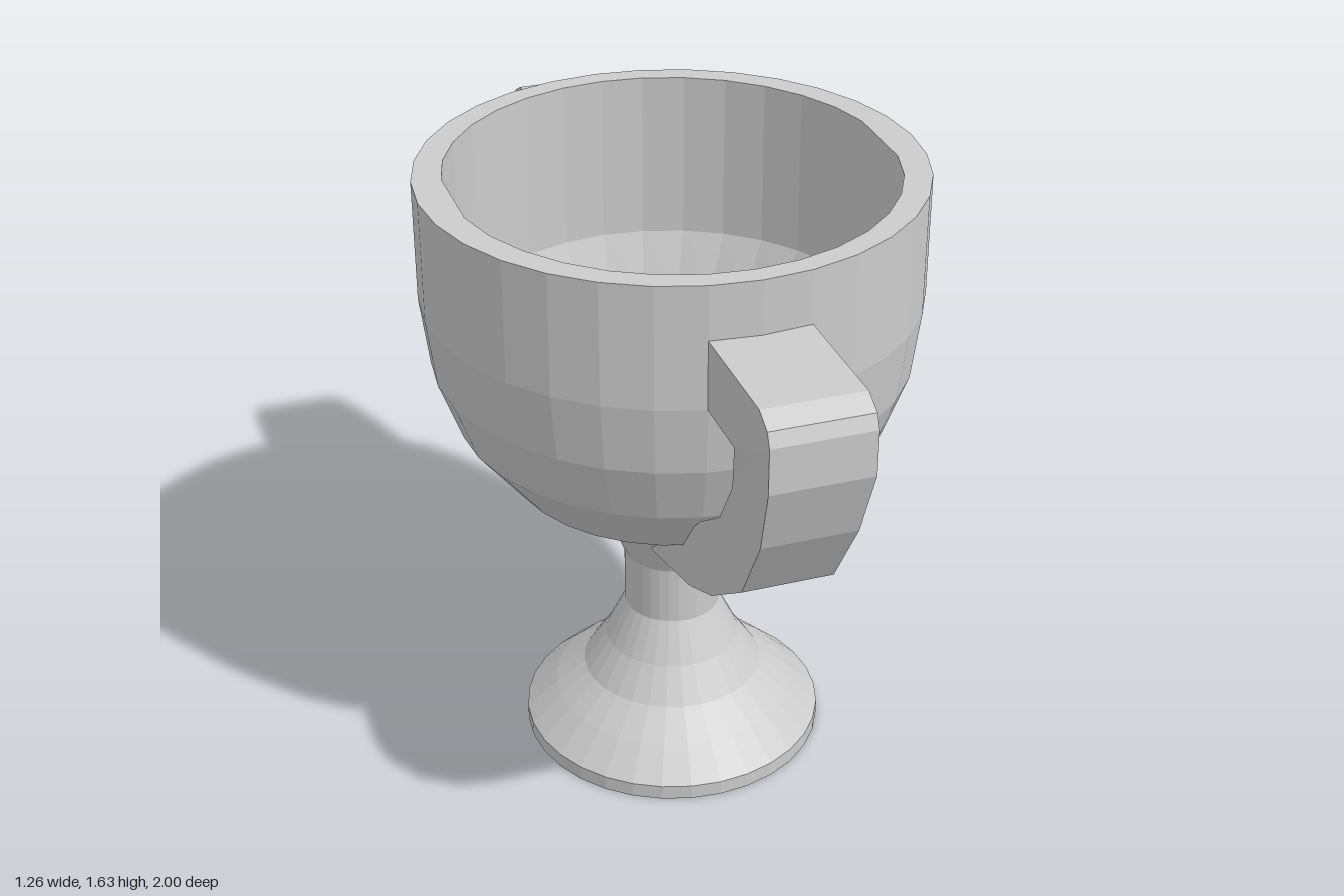
import * as THREE from 'three';

const SEGMENTS = 32;
const material = new THREE.MeshStandardMaterial({ color: 0xcccccc, flatShading: true });

function turned(name, profile) {
  const points = profile.map(([r, y]) => new THREE.Vector2(r, y));
  const mesh = new THREE.Mesh(new THREE.LatheGeometry(points, SEGMENTS), material);
  mesh.name = name;
  return mesh;
}

// Side outline of a handle as [z, y], extruded across x and narrowed towards the bottom
function makeHandle(name) {
  const outline = [
    [0.6, 1.497], [0.6, 1.32], [0.79, 1.32], [0.765, 1.2], [0.675, 1.065], [0.54, 0.97],
    [0.39, 0.83], [0.15, 0.65], [0.17, 0.65], [0.455, 0.73], [0.615, 0.805],
    [0.82, 0.95], [0.94, 1.145], [1, 1.32], [1, 1.435], [0.985, 1.47], [0.935, 1.497],
  ];
  const shape = new THREE.Shape(outline.map(([z, y]) => new THREE.Vector2(z, y)));
  const geometry = new THREE.ExtrudeGeometry(shape, { depth: 0.25, bevelEnabled: false });
  geometry.translate(0, 0, -0.125).rotateY(-Math.PI / 2);
  const p = geometry.attributes.position;
  for (let i = 0; i < p.count; i++) {
    const t = THREE.MathUtils.clamp((1.32 - p.getY(i)) / 0.67, 0, 1);
    p.setX(i, p.getX(i) * (1 - 0.13 * Math.sqrt(t)));
  }
  geometry.computeVertexNormals();
  const mesh = new THREE.Mesh(geometry, material);
  mesh.name = name;
  return mesh;
}

export function createModel() {
  const group = new THREE.Group();
  group.name = 'trophyCup';

  // Flared foot and narrow stem
  group.add(turned('footAndStem', [
    [0, 0], [0.4, 0], [0.4, 0.04], [0.32, 0.115], [0.24, 0.18], [0.18, 0.27],
    [0.127, 0.38], [0.127, 0.54], [0.17, 0.65],
  ]));

  // Bowl: outside, flat rim, upright inner wall, sloping band and floor
  const profile = [
    [0.17, 0.65], [0.425, 0.82], [0.55, 0.98], [0.608, 1.14], [0.63, 1.32],
    [0.63, 1.635], [0.575, 1.635], [0.575, 1.19], [0.52, 1.03], [0, 1.03],
  ];
  const bowl = turned('bowl', profile);
  // The cavity is narrower across x, with a flat panel on each side
  const p = bowl.geometry.attributes.position;
  for (let i = 0; i < p.count; i++) {
    const row = i % profile.length;
    if (row === 6 || row === 7) p.setX(i, THREE.MathUtils.clamp(p.getX(i) * 0.97, -0.545, 0.545));
    if (row === 8) p.setX(i, p.getX(i) * 0.905);
  }
  bowl.geometry.computeVertexNormals();
  group.add(bowl);

  // Matching handles at front and back
  const back = makeHandle('backHandle');
  back.rotation.y = Math.PI;
  group.add(makeHandle('frontHandle'), back);

  return group;
}
